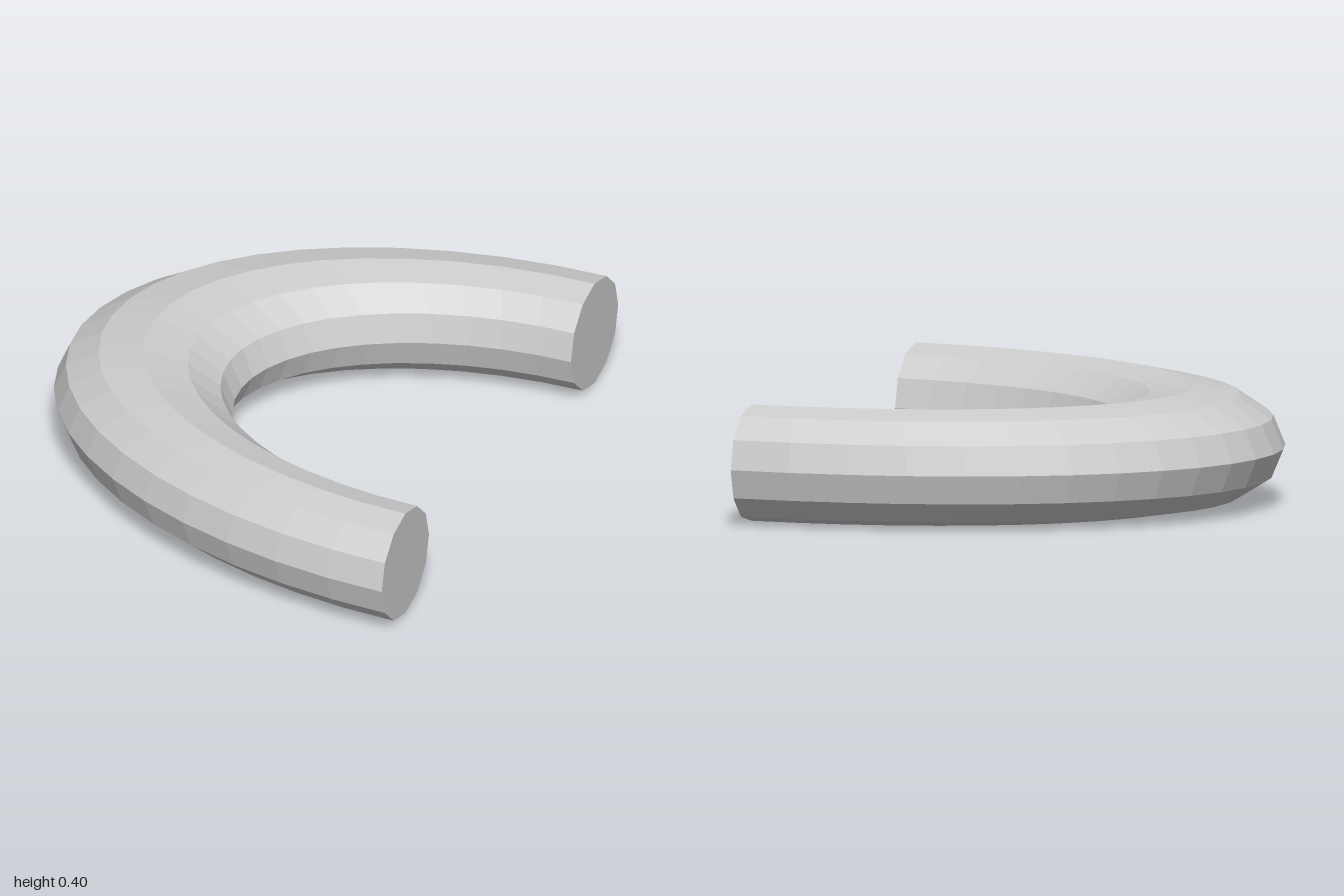
import * as THREE from 'three';

export function createModel() {
  const ringRadius = 0.8, tubeRadius = 0.2, sides = 12, segments = 24, stretch = 1.6;
  const endX = 0.8;
  const model = new THREE.Group();
  model.name = 'halfRing';
  const material = new THREE.MeshStandardMaterial({ color: 0xcccccc, flatShading: true });

  // Half torus bulging towards -x, stretched into a half ellipse
  const tube = new THREE.TorusGeometry(ringRadius, tubeRadius, sides, segments, Math.PI);
  tube.rotateX(-Math.PI / 2).rotateY(Math.PI / 2);
  tube.scale(stretch, 1, 1).translate(endX, tubeRadius, 0);
  const bend = new THREE.Mesh(tube, material);
  bend.name = 'curvedTube';
  model.add(bend);

  // Flat caps closing both open ends, facing +x
  for (const side of [1, -1]) {
    const cap = new THREE.Mesh(new THREE.CircleGeometry(tubeRadius, sides), material);
    cap.rotation.y = Math.PI / 2;
    cap.position.set(endX, tubeRadius, side * ringRadius);
    cap.name = side > 0 ? 'frontEndCap' : 'backEndCap';
    model.add(cap);
  }
  return model;
}
